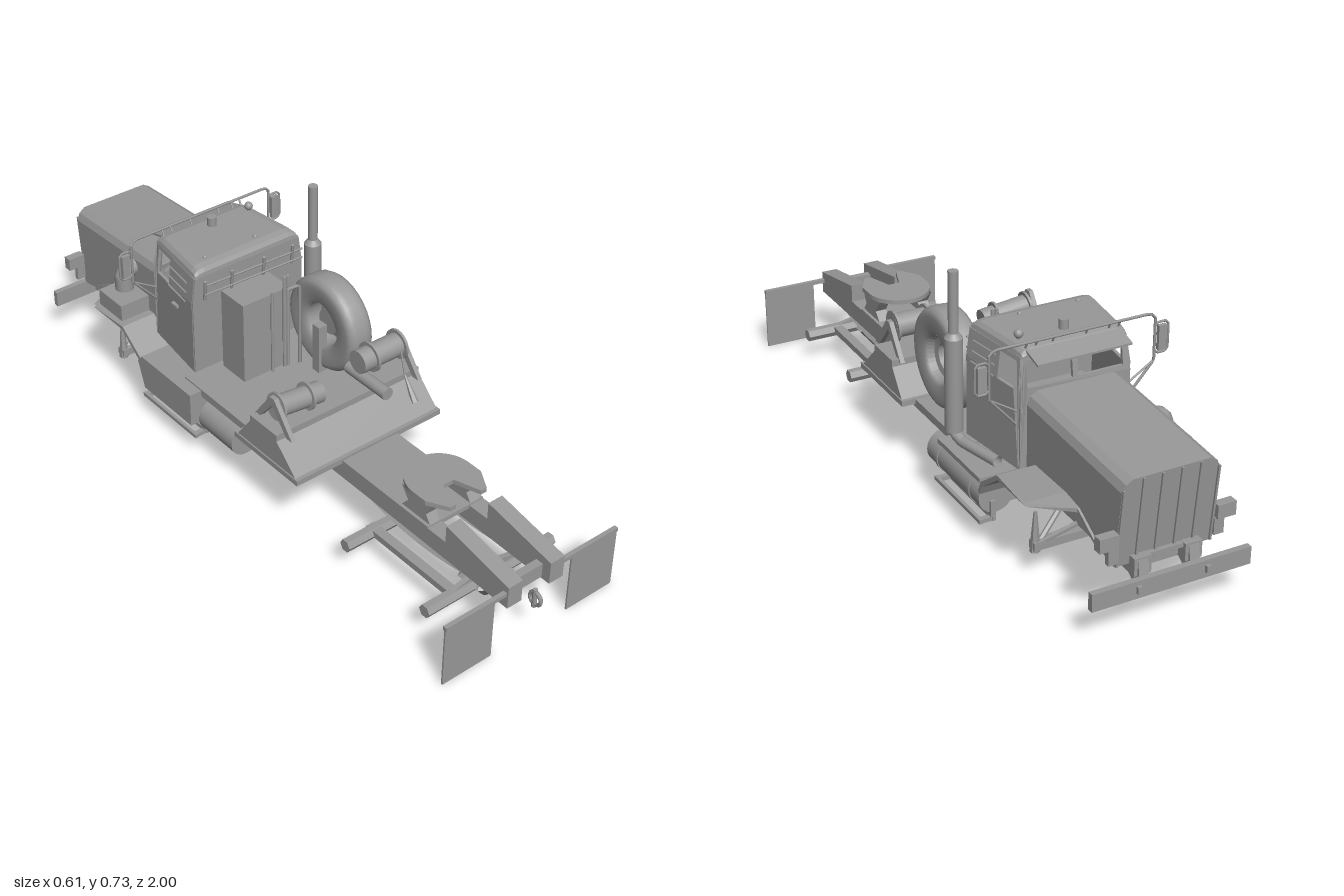
import * as THREE from 'three';

const mat = new THREE.MeshStandardMaterial({ color: 0x989898, side: THREE.DoubleSide });
const flat = new THREE.MeshStandardMaterial({ color: 0x989898, side: THREE.DoubleSide, flatShading: true });
const V = (p) => new THREE.Vector3(...p);

export function createModel() {
  const root = new THREE.Group();
  const add = (name, geo, m = flat) => {
    const mesh = new THREE.Mesh(geo, m);
    mesh.name = name;
    root.add(mesh);
    return mesh;
  };
  // box given by its extents
  const box = (name, x0, x1, y0, y1, z0, z1) =>
    add(name, new THREE.BoxGeometry(x1 - x0, y1 - y0, z1 - z0).translate((x0 + x1) / 2, (y0 + y1) / 2, (z0 + z1) / 2));
  // cylinder between two points
  const rod = (name, a, b, r, sides = 8, r2 = r) => {
    const A = V(a), B = V(b), d = B.clone().sub(A);
    const mesh = add(name, new THREE.CylinderGeometry(r2, r, d.length(), sides), sides > 8 ? mat : flat);
    mesh.position.copy(A).add(B).multiplyScalar(0.5);
    mesh.quaternion.setFromUnitVectors(new THREE.Vector3(0, 1, 0), d.normalize());
    return mesh;
  };
  // bent pipe through points with tight corners
  const pipe = (name, pts, r, sides = 6) => {
    const path = new THREE.CurvePath();
    pts.slice(1).forEach((p, i) => path.add(new THREE.LineCurve3(V(pts[i]), V(p))));
    return add(name, new THREE.TubeGeometry(path, pts.length * 8, r, sides), mat);
  };
  const shape = (pts, holes = []) => {
    const s = new THREE.Shape(pts.map((p) => new THREE.Vector2(...p)));
    holes.forEach((h) => s.holes.push(new THREE.Path(h.map((p) => new THREE.Vector2(...p)))));
    return s;
  };
  // side profile [z, y] extruded from x0 to x1
  const profile = (name, pts, x0, x1, holes) =>
    add(name, new THREE.ExtrudeGeometry(shape(pts, holes), { depth: x1 - x0, bevelEnabled: false })
      .rotateY(-Math.PI / 2).translate(x1, 0, 0));
  // face outline [x, y] extruded from z0 to z1
  const plate = (name, pts, z0, z1, holes) =>
    add(name, new THREE.ExtrudeGeometry(shape(pts, holes), { depth: z1 - z0, bevelEnabled: false }).translate(0, 0, z0));
  const warp = (mesh, rule) => {
    const p = mesh.geometry.attributes.position, v = new THREE.Vector3();
    for (let i = 0; i < p.count; i++) {
      rule(v.fromBufferAttribute(p, i));
      p.setXYZ(i, v.x, v.y, v.z);
    }
    mesh.geometry.computeVertexNormals();
  };
  const rect = (a, b, c, d) => [[a, c], [b, c], [b, d], [a, d]];
  const both = (fn) => [-1, 1].forEach(fn);
  const span = (s, a, b) => (s > 0 ? [a, b] : [-b, -a]);

  // chassis rails with raised tail ramps
  both((s) => {
    profile('frameRail', [[0.97, 0.15], [0.97, 0.22], [0.73, 0.265], [0.73, 0.21], [-0.965, 0.205], [-0.965, 0.155], [0.4, 0.155]],
      ...span(s, 0.05, 0.1));
    box('mudFlap', ...span(s, 0.138, 0.307), 0, 0.198, 0.957, 0.962);
    box('flapHanger', ...span(s, 0.1, 0.307), 0.188, 0.2, 0.952, 0.965);
    // rear suspension
    add('leafSpring', new THREE.TubeGeometry(new THREE.QuadraticBezierCurve3(
      V([s * 0.08, 0.155, 0.86]), V([s * 0.08, 0.085, 0.62]), V([s * 0.08, 0.155, 0.36])), 12, 0.01, 4));
    box('walkingBeam', ...span(s, 0.112, 0.142), 0.085, 0.105, 0.46, 0.81);
  });
  [0.93, 0.3, -0.2, -0.6, -0.92].forEach((z) => box('crossMember', -0.06, 0.06, 0.155, 0.2, z - 0.012, z + 0.012));
  box('frameTopPlate', -0.1, 0.1, 0.2, 0.214, 0.29, 0.66);
  box('frameFloor', -0.055, 0.055, 0.192, 0.204, -0.955, 0.3);
  [0.475, 0.8].forEach((z) => rod('rearAxle', [-0.23, 0.09, z], [0.23, 0.09, z], 0.02, 6));
  plate('axleBanjo', [[-0.14, 0.085], [0.14, 0.085], [0.14, 0.105], [0.03, 0.13], [0, 0.155], [-0.03, 0.13], [-0.14, 0.105]], 0.79, 0.805);
  rod('differentialBottom', [0, 0.01, 0.79], [0, 0.088, 0.79], 0.005, 6, 0.078);
  rod('differentialTop', [0, 0.088, 0.79], [0, 0.15, 0.79], 0.078, 6, 0.01);
  add('towRing', new THREE.TorusGeometry(0.02, 0.006, 6, 14).rotateY(Math.PI / 2).translate(0, 0.13, 0.973), mat);
  rod('towPin', [0, 0.1, 0.97], [0, 0.16, 0.97], 0.007);

  // fifth wheel coupling: disc with a rear throat and two tapering horns
  const fw = new THREE.Shape();
  fw.absarc(0, 0, 0.1, 0, Math.PI, false);
  [[-0.1, -0.05], [-0.065, -0.11], [-0.045, -0.11], [-0.018, -0.03], [0.018, -0.03], [0.045, -0.11], [0.065, -0.11], [0.1, -0.05]]
    .forEach((p) => fw.lineTo(...p));
  add('fifthWheelPlate', new THREE.ExtrudeGeometry(fw, { depth: 0.014, bevelEnabled: false, curveSegments: 16 })
    .rotateX(-Math.PI / 2).translate(0, 0.28, 0.595));
  both((s) => profile('fifthWheelStand', [[0.66, 0.21], [0.64, 0.24], [0.66, 0.282], [0.54, 0.282], [0.57, 0.24], [0.54, 0.21]], ...span(s, 0.055, 0.09)));

  // decks
  box('midDeck', -0.22, 0.22, 0.195, 0.22, -0.28, 0.1);
  box('rearDeck', -0.262, 0.262, 0.205, 0.222, 0.02, 0.305);
  profile('winchDeck', [[0.295, 0.22], [0.21, 0.3], [0.21, 0.32], [0.09, 0.32], [0.09, 0.3], [0.03, 0.22]], -0.258, 0.258);

  // winches with flanges and triangular brackets
  const winch = (a, b, r) => {
    rod('winchDrum', a, b, r, 20);
    const A = V(a), B = V(b);
    [0.3, 0.97].forEach((t) => {
      const c = A.clone().lerp(B, t), d = B.clone().sub(A).normalize().multiplyScalar(0.004);
      rod('winchFlange', c.clone().sub(d).toArray(), c.clone().add(d).toArray(), r + 0.01, 20);
    });
  };
  winch([-0.065, 0.35, 0.155], [-0.218, 0.368, 0.155], 0.032);
  winch([0.07, 0.392, 0.16], [0.222, 0.392, 0.16], 0.036);
  both((s) => profile('winchBracket', [[0.25, 0.31], [0.172, 0.41], [0.152, 0.41], [0.08, 0.31], [0.1, 0.31], [0.162, 0.385], [0.225, 0.31]],
    ...span(s, 0.222, 0.236)));
  rod('winchMotor', [0.09, 0.335, 0.1], [0.09, 0.335, 0.27], 0.019, 14);
  rod('cableEnd', [0.202, 0.25, 0.262], [0.202, 0.32, 0.215], 0.012, 6, 0.003);
  rod('cable', [0.202, 0.32, 0.215], [0.202, 0.39, 0.195], 0.003, 6);

  // spare wheel: tyre and dished rim
  const tyre = [[0.068, -0.03], [0.08, -0.042], [0.125, -0.045], [0.14, -0.04], [0.148, -0.028], [0.15, -0.012], [0.15, 0.012], [0.148, 0.028],
    [0.14, 0.04], [0.125, 0.045], [0.08, 0.042], [0.068, 0.03], [0.068, -0.03]].map((p) => new THREE.Vector2(...p));
  const rim = [[0, -0.01], [0.04, -0.01], [0.04, 0.012], [0.06, 0.015], [0.07, 0.034]].map((p) => new THREE.Vector2(...p));
  [['spareTyre', tyre, mat], ['spareRim', rim, flat]].forEach(([n, pts, m]) =>
    add(n, new THREE.LatheGeometry(pts, 32).rotateZ(-Math.PI / 2).translate(0.154, 0.378, -0.064), m));
  box('spareCarrier', 0.1, 0.13, 0.22, 0.38, -0.08, -0.05);

  // exhaust stack
  rod('muffler', [0.228, 0.25, -0.24], [0.228, 0.53, -0.24], 0.026, 20);
  rod('mufflerCollar', [0.228, 0.53, -0.24], [0.228, 0.545, -0.24], 0.026, 20, 0.0145);
  rod('stackPipe', [0.228, 0.54, -0.24], [0.228, 0.725, -0.24], 0.0145, 16);
  pipe('exhaustElbow', [[0.228, 0.26, -0.24], [0.228, 0.24, -0.25], [0.222, 0.23, -0.28], [0.19, 0.23, -0.42]], 0.016, 12);

  // cab shell, narrowing forward and upward
  const shrink = (z, y) => Math.max(0, -z - 0.26) * 0.13 + Math.max(0, y - 0.48) * 0.14;
  both((s) => {
    const side = profile('cabSide', [[-0.26, 0.24], [-0.26, 0.48], [-0.26, 0.56], [-0.485, 0.56], [-0.495, 0.48], [-0.495, 0.24]],
      ...span(s, 0.19, 0.2), [rect(-0.472, -0.4, 0.47, 0.548)]);
    warp(side, (v) => { v.x -= s * shrink(v.z, v.y); });
    [0.475, 0.505, 0.535].forEach((y) => rod('sideRail', [s * (0.206 - shrink(-0.29, y)), y, -0.29], [s * (0.206 - shrink(-0.39, y)), y, -0.39], 0.003, 6));
    box('doorHandle', ...span(s, 0.182, 0.198), 0.42, 0.428, -0.37, -0.34);
  });
  plate('cabRear', [[-0.198, 0.24], [0.198, 0.24], [0.198, 0.48], [0.187, 0.56], [-0.187, 0.56], [-0.198, 0.48]], -0.268, -0.256);
  const shield = plate('windshieldFrame', [[-0.167, 0.24], [0.167, 0.24], [0.167, 0.46], [0.156, 0.57], [-0.156, 0.57], [-0.167, 0.46]], -0.5, -0.49,
    [rect(-0.145, -0.008, 0.475, 0.55), rect(0.008, 0.145, 0.475, 0.55)]);
  warp(shield, (v) => { v.z += Math.max(0, v.y - 0.46) * 0.15; });
  // skin stretched over rings of eight points, closed at the last ring
  const skin = (rows) => {
    const idx = [];
    for (let r = 0; r < rows.length - 1; r++) for (let i = 0; i < 7; i++) {
      const a = r * 8 + i;
      idx.push(a, a + 8, a + 1, a + 1, a + 8, a + 9);
    }
    const last = (rows.length - 1) * 8;
    for (let i = 1; i < 7; i++) idx.push(last, last + i + 1, last + i);
    const g = new THREE.BufferGeometry();
    g.setAttribute('position', new THREE.Float32BufferAttribute(rows.flat(2), 3));
    g.setIndex(idx);
    g.computeVertexNormals();
    return g;
  };
  // roof with rounded shoulders and rounded ends, flush with the walls
  const roofRing = (z, w, h) => [[-w, 0.558], [-w + 0.004, 0.558 + h * 0.5], [-w + 0.014, 0.558 + h * 0.85], [-w + 0.035, 0.558 + h],
    [w - 0.035, 0.558 + h], [w - 0.014, 0.558 + h * 0.85], [w - 0.004, 0.558 + h * 0.5], [w, 0.558]].map(([x, y]) => [x, y, z]);
  add('cabRoof', skin([roofRing(-0.256, 0.187, 0), roofRing(-0.258, 0.187, 0.014), roofRing(-0.266, 0.186, 0.025), roofRing(-0.285, 0.184, 0.03),
    roofRing(-0.46, 0.163, 0.03), roofRing(-0.482, 0.16, 0.024), roofRing(-0.49, 0.159, 0.01)]));
  profile('sunVisor', [[-0.48, 0.58], [-0.545, 0.562], [-0.545, 0.556], [-0.48, 0.572]], -0.142, 0.142);
  box('cabFloor', -0.165, 0.165, 0.24, 0.25, -0.49, -0.26);
  box('seatBench', -0.15, 0.15, 0.25, 0.36, -0.38, -0.28);
  rod('beaconLamp', [0, 0.585, -0.43], [0, 0.616, -0.43], 0.014, 14);
  [[0.135, -0.43], [-0.12, -0.3], [0.06, -0.3]].forEach(([x, z], i) =>
    add('roofLamp', new THREE.SphereGeometry(i ? 0.007 : 0.013, 12, 8).translate(x, i ? 0.588 : 0.602, z), mat));
  rod('lampStem', [0.135, 0.58, -0.43], [0.135, 0.6, -0.43], 0.005);

  // rails, cabinet and pipes behind the cab
  [0.505, 0.535].forEach((y) => rod('rearRail', [-0.165, y, -0.243], [0.19, y - 0.01, -0.243], 0.003, 6));
  [-0.16, -0.065, 0.05, 0.155].forEach((x) => rod('rearRailPost', [x, 0.485, -0.25], [x - 0.004, 0.553, -0.238], 0.005, 6));
  box('rearCabinet', -0.098, 0.07, 0.22, 0.487, -0.256, -0.15);
  rod('airPipe', [0, 0.22, -0.142], [0, 0.5, -0.142], 0.005);
  [0.045, 0.057].forEach((x) => rod('airPipe', [x, 0.22, -0.142], [x, 0.535, -0.142], 0.006));
  pipe('airPipe', [[0.05, 0.497, -0.13], [0.085, 0.495, -0.13], [0.092, 0.485, -0.13], [0.092, 0.22, -0.13]], 0.006);

  // hood: open chamfered shell sloping to a raked grille
  const hoodRing = (z, w, yb, yt, rake) => [[-w, yb], [-w, yt - 0.035], [-w + 0.01, yt - 0.013], [-w + 0.03, yt], [w - 0.03, yt], [w - 0.01, yt - 0.013], [w, yt - 0.035], [w, yb]]
    .map(([x, y]) => [x, y, z - (y - 0.2) * rake]);
  add('hood', skin([hoodRing(-0.48, 0.146, 0.24, 0.464, 0), hoodRing(-0.72, 0.144, 0.225, 0.451, 0), hoodRing(-0.941, 0.142, 0.18, 0.437, 0.1)]));
  [-0.138, -0.083, -0.028, 0.028, 0.083, 0.138].forEach((x) => {
    const bar = box('grilleBar', x - 0.003, x + 0.003, 0.182, Math.abs(x) > 0.1 ? 0.41 : 0.434, -0.947, -0.938);
    warp(bar, (v) => { v.z -= (v.y - 0.2) * 0.1; });
  });

  // front end: low bumper on drop brackets, lamps, hooks
  box('bumper', -0.235, 0.235, 0.107, 0.158, -0.99, -0.972);
  both((s) => {
    profile('bumperBracket', [[-0.9, 0.16], [-0.965, 0.2], [-0.975, 0.15], [-0.975, 0.115], [-0.96, 0.115]], ...span(s, 0.06, 0.09));
    box('headlamp', ...span(s, 0.145, 0.2), 0.248, 0.288, -0.962, -0.935);
    box('lampBracket', ...span(s, 0.14, 0.17), 0.2, 0.25, -0.955, -0.94);
    box('towHook', ...span(s, 0.095, 0.108), 0.125, 0.145, -1, -0.99);
    // fender: bent sheet with a narrow nose and a steep rear panel
    const fender = profile('fender', [[-0.44, 0.17], [-0.455, 0.205], [-0.545, 0.272], [-0.7, 0.272], [-0.77, 0.262], [-0.86, 0.21],
      [-0.86, 0.2], [-0.77, 0.25], [-0.7, 0.26], [-0.55, 0.26], [-0.465, 0.195], [-0.45, 0.165]], ...span(s, 0.1, 0.26));
    warp(fender, (v) => {
      const limit = v.z < -0.76 ? 0.15 : 0.26;
      v.x = s * Math.min(Math.abs(v.x), limit);
    });
    // front axle struts
    [-0.6, -0.69].forEach((z) => rod('axleStrut', [s * 0.1, 0.16, z], [s * 0.19, 0.1, -0.645], 0.008, 6));
    rod('axlePivot', [s * 0.2, 0.08, -0.645], [s * 0.2, 0.2, -0.645], 0.015, 6, 0.005);
    // mirrors on tube frames
    const z = -0.485, m = (x, y) => [s * x, y, z];
    pipe('mirrorFrame', [m(0.25, 0.49), m(0.26, 0.48), m(0.283, 0.48), m(0.292, 0.49), m(0.292, 0.56), m(0.283, 0.57), m(0.26, 0.57), m(0.25, 0.56)], 0.0035);
    box('mirror', ...span(s, 0.26, 0.285), 0.487, 0.56, z - 0.006, z + 0.006);
    pipe('mirrorStrut', [m(0.25, 0.585), m(0.25, 0.46), m(0.17, 0.37)], 0.004);
    rod('mirrorBrace', m(0.25, 0.46), m(0.17, 0.41), 0.003, 6);
  });
  pipe('roofBar', [[-0.25, 0.585, -0.485], [-0.236, 0.6, -0.485], [0.238, 0.6, -0.485], [0.252, 0.585, -0.485]], 0.004);
  [-0.14, -0.11, -0.04, 0.06, 0.11, 0.14].forEach((x) => rod('roofBarPost', [x, 0.58, -0.475], [x, 0.6, -0.485], 0.003, 6));
  box('frontAxle', -0.21, 0.21, 0.088, 0.112, -0.66, -0.63);

  // air cleaner beside the hood
  box('airCleanerBase', -0.245, -0.14, 0.265, 0.325, -0.69, -0.57);
  pipe('airCleanerElbow', [[-0.178, 0.32, -0.65], [-0.178, 0.365, -0.65], [-0.17, 0.384, -0.65], [-0.152, 0.392, -0.65], [-0.13, 0.392, -0.65]], 0.029, 14);

  // tanks, boxes and open-frame steps
  rod('fuelTank', [0.205, 0.143, -0.13], [0.205, 0.143, -0.44], 0.053, 24);
  [-0.19, -0.38].forEach((z) => rod('tankStrap', [0.205, 0.143, z - 0.006], [0.205, 0.143, z + 0.006], 0.056, 24));
  rod('airTank', [-0.2, 0.145, -0.01], [-0.2, 0.145, -0.17], 0.052, 24);
  profile('batteryBox', [[-0.2, 0.106], [-0.2, 0.215], [-0.45, 0.215], [-0.47, 0.19], [-0.44, 0.106]], -0.26, -0.1);
  box('tankSaddle', 0.1, 0.17, 0.106, 0.2, -0.43, -0.15);
  box('tankShelf', 0.12, 0.26, 0.198, 0.212, -0.45, -0.2);
  both((s) => {
    [0.21, 0.25].forEach((x) => box('stepBar', ...span(s, x, x + 0.01), 0.07, 0.082, -0.45, -0.18));
    [-0.44, -0.19].forEach((z) => {
      box('stepEnd', ...span(s, 0.21, 0.26), 0.07, 0.082, z - 0.008, z + 0.008);
      box('stepHanger', ...span(s, 0.21, 0.225), 0.075, 0.13, z - 0.008, z + 0.008);
    });
  });
  return root;
}
